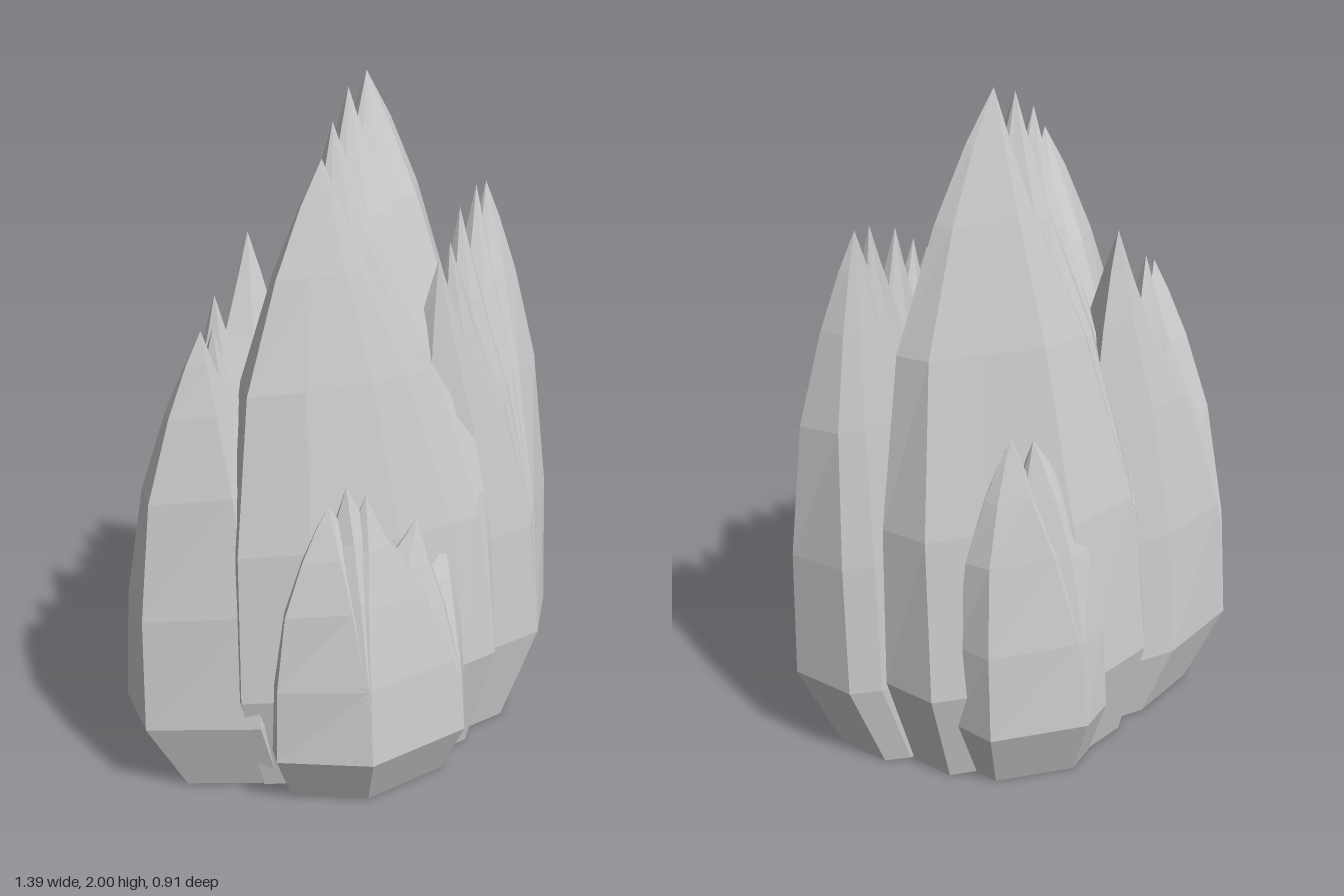
import * as THREE from 'three';
import { mergeGeometries } from 'three/addons/utils/BufferGeometryUtils.js';

// Taper from widest ring (t = 0) to tip (t = 1): bulging along x, straighter along z.
// "pinch" narrows the side that faces a neighbouring peak, leaving a cleft between them.
const RINGS = [
  { t: 0, x: 1, z: 1, pinch: 1 },
  { t: 0.3, x: 0.97, z: 0.83, pinch: 0.92 },
  { t: 0.6, x: 0.8, z: 0.52, pinch: 0.7 },
  { t: 0.8, x: 0.48, z: 0.28, pinch: 0.48 },
  { t: 0.92, x: 0.22, z: 0.11, pinch: 0.4 },
  { t: 1, x: 0, z: 0, pinch: 1 },
];
const FOOT = 0.82; // the whole cluster narrows to the ground by this factor

// One faceted spire: narrow foot, widest ring, then rings closing on the tip
function spire(outline, wideY, tip, pinchLeft, pinchRight) {
  const n = outline.length;
  const [tx, ty, tz] = tip;
  const rings = [outline.map(([x, z]) => [x * FOOT, 0, z * FOOT])];
  for (const r of RINGS) {
    rings.push(outline.map(([x, z]) => {
      const pinched = x > tx ? pinchRight : pinchLeft;
      const fx = r.x * (pinched ? r.pinch : 1);
      return [tx + (x - tx) * fx, wideY + (ty - wideY) * r.t, tz + (z - tz) * r.z];
    }));
  }
  const pos = [];
  const tri = (a, b, c) => pos.push(...a, ...b, ...c);
  const centre = [0, 1].map((k) => outline.reduce((s, p) => s + p[k], 0) / n * FOOT);
  for (let i = 0; i < n; i++) {
    const j = (i + 1) % n;
    tri([centre[0], 0, centre[1]], rings[0][j], rings[0][i]);
    for (let k = 0; k < rings.length - 1; k++) {
      const lo = rings[k], hi = rings[k + 1];
      tri(lo[i], lo[j], hi[j]);
      if (k < rings.length - 2) tri(lo[i], hi[j], hi[i]);
    }
  }
  const g = new THREE.BufferGeometry();
  g.setAttribute('position', new THREE.Float32BufferAttribute(pos, 3));
  g.computeVertexNormals();
  return g;
}

// Outlines are [x, z] at the widest ring, anticlockwise from above; peaks are [x, y, z] by x
const CLUMPS = [
  {
    name: 'mainRock', wideY: 0.32,
    outline: [[0.5, -0.13], [0.43, -0.28], [0.25, -0.33], [0.01, -0.42], [-0.25, -0.34],
      [-0.41, -0.06], [-0.47, 0.18], [-0.28, 0.28], [0.0, 0.34], [0.2, 0.34], [0.31, 0.33],
      [0.4, 0.1]],
    peaks: [[-0.14, 1.82, 0.09], [-0.07, 1.9, 0.03], [0.03, 1.97, -0.05], [0.12, 2, -0.1]],
  },
  {
    name: 'leftSideRock', wideY: 0.29,
    outline: [[0.69, 0.09], [0.6, -0.09], [0.51, -0.12], [0.3, -0.1], [0.08, 0.04],
      [0.14, 0.22], [0.36, 0.27], [0.53, 0.26]],
    peaks: [[0.2, 1.51, 0.15], [0.25, 1.55, 0.13], [0.34, 1.62, 0.05], [0.44, 1.66, -0.01],
      [0.49, 1.66, -0.03]],
  },
  {
    name: 'rightSideRock', wideY: 0.23,
    outline: [[-0.1, -0.28], [-0.39, -0.29], [-0.66, -0.18], [-0.7, 0.03], [-0.42, 0.2],
      [-0.12, 0.08]],
    peaks: [[-0.48, 1.39, 0.03], [-0.43, 1.38, 0], [-0.39, 1.45, -0.06], [-0.23, 1.58, -0.16]],
  },
  {
    name: 'frontRock', wideY: 0.17,
    outline: [[0.2, 0.33], [0.14, 0.18], [-0.3, 0.18], [-0.4, 0.23], [-0.42, 0.29],
      [-0.2, 0.45], [0.13, 0.43]],
    peaks: [[-0.24, 0.92, 0.28], [-0.19, 0.97, 0.29], [-0.14, 0.94, 0.31], [0.03, 0.83, 0.31],
      [0.14, 0.73, 0.29]],
  },
  {
    name: 'backRock', wideY: 0.21,
    outline: [[0.35, -0.27], [0.3, -0.39], [0.02, -0.46], [-0.08, -0.4], [0.02, -0.2],
      [0.3, -0.15]],
    peaks: [[0.12, 1.09, -0.31], [0.18, 1.11, -0.3]],
  },
];

export function createModel() {
  const model = new THREE.Group();
  model.name = 'rockSpires';
  const material = new THREE.MeshStandardMaterial({ color: 0xcccccc, flatShading: true });
  for (const { name, wideY, outline, peaks } of CLUMPS) {
    const parts = peaks.map((tip, k) =>
      spire(outline, wideY, tip, k > 0, k < peaks.length - 1));
    const mesh = new THREE.Mesh(mergeGeometries(parts), material);
    mesh.name = name;
    model.add(mesh);
  }
  return model;
}
